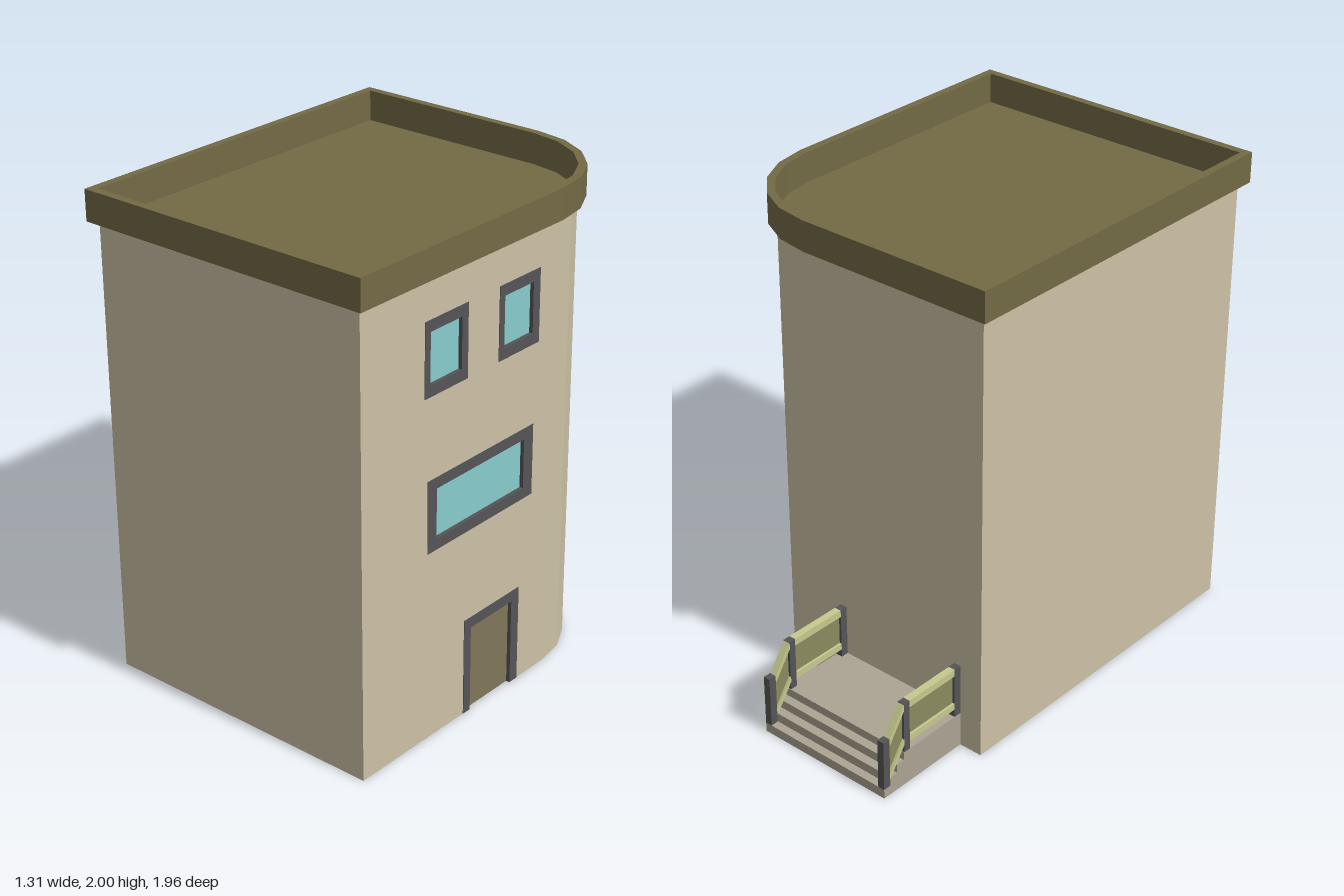
import * as THREE from 'three';

const mat = (color) => new THREE.MeshStandardMaterial({ color, side: THREE.DoubleSide, flatShading: true });
const WALL_X = 0.622;

// Footprint with one rounded back corner, as [x, z] points; e widens it outward
function footprint(e) {
  const x = WALL_X + e, r = 0.417 + e, cx = 0.205, cz = -0.133;
  const pts = [[x, 0.95 + e], [-x, 0.95 + e], [-x, -0.55 - e]];
  for (let i = 0; i <= 5; i++) {
    const a = (i / 5) * Math.PI / 2;
    pts.push([cx + r * Math.sin(a), cz - r * Math.cos(a)]);
  }
  return pts;
}
const toVectors = (pts) => pts.map(([x, z]) => new THREE.Vector2(x, -z));

// Rectangle given by [z0, z1, y0, y1], drawn in a plane whose x is -z
const rectPoints = ([z0, z1, y0, y1]) => [[-z1, y0], [-z0, y0], [-z0, y1], [-z1, y1]]
  .map(([x, y]) => new THREE.Vector2(x, y));

// Turn a shape drawn in (-z, y) so that it faces +x, starting at depth x
const faceRight = (geo, x) => geo.rotateY(Math.PI / 2).translate(x, 0, 0);

export function createModel() {
  const model = new THREE.Group();
  const tan = mat(0xcdc2a6), olive = mat(0x736a45), dark = mat(0x555557), glass = mat(0x88cccc);
  const doorMat = mat(0x80765a), stone = mat(0xaca392), railMat = mat(0xc6ca8e), panelMat = mat(0x8a8a5e);
  const add = (parent, name, geo, material) => {
    const mesh = new THREE.Mesh(geo, material);
    mesh.name = name;
    parent.add(mesh);
    return mesh;
  };
  const box = (parent, name, [x0, x1, y0, y1, z0, z1], material) => add(parent, name,
    new THREE.BoxGeometry(x1 - x0, y1 - y0, z1 - z0)
      .translate((x0 + x1) / 2, (y0 + y1) / 2, (z0 + z1) / 2), material);

  // Open-bottomed wall shell: one quad per footprint edge, except the side with openings
  const ring = footprint(0), pos = [], H = 1.875;
  for (let i = 0; i < ring.length - 1; i++) {
    const [ax, az] = ring[i], [bx, bz] = ring[i + 1];
    pos.push(ax, 0, az, ax, H, az, bx, H, bz, ax, 0, az, bx, H, bz, bx, 0, bz);
  }
  const shell = new THREE.BufferGeometry();
  shell.setAttribute('position', new THREE.Float32BufferAttribute(pos, 3));
  shell.computeVertexNormals();
  add(model, 'walls', shell, tan);

  // Openings: outer frame rectangle and inner pane rectangle
  const openings = [
    { name: 'upperWindowFront', outer: [0.37, 0.61, 1.415, 1.71], inner: [0.405, 0.58, 1.46, 1.665] },
    { name: 'upperWindowBack', outer: [-0.05, 0.19, 1.415, 1.71], inner: [-0.01, 0.16, 1.46, 1.665] },
    { name: 'middleWindow', outer: [-0.03, 0.59, 0.79, 1.085], inner: [0.025, 0.54, 0.835, 1.04] },
    { name: 'door', outer: [0.035, 0.37, 0, 0.41], inner: [0.08, 0.33, 0, 0.365] },
  ];
  const side = new THREE.Shape(rectPoints([-0.133, 0.95, 0, H]));
  for (const { name, outer, inner } of openings) {
    const group = new THREE.Group();
    group.name = name;
    const isDoor = name === 'door';
    let shape = new THREE.Shape(rectPoints(outer));
    if (isDoor) {
      // The door frame is open at the ground
      const o = rectPoints(outer), n = rectPoints(inner);
      shape = new THREE.Shape([o[0], n[0], n[3], n[2], n[1], o[1], o[2], o[3]]);
      outer[2] = 0.0005;
    } else {
      shape.holes.push(new THREE.Path(rectPoints(inner)));
    }
    side.holes.push(new THREE.Path(rectPoints(outer)));
    add(group, 'frame', faceRight(new THREE.ExtrudeGeometry(shape, { depth: 0.022, bevelEnabled: false }),
      WALL_X - 0.02), dark);
    add(group, isDoor ? 'doorLeaf' : 'pane', faceRight(new THREE.ShapeGeometry(
      new THREE.Shape(rectPoints(inner))), WALL_X - 0.014), isDoor ? doorMat : glass);
    model.add(group);
  }
  add(model, 'sideWall', faceRight(new THREE.ShapeGeometry(side), WALL_X), tan);

  // Roof deck and overhanging parapet
  const deck = new THREE.ShapeGeometry(new THREE.Shape(toVectors(ring)));
  add(model, 'roofDeck', deck.rotateX(-Math.PI / 2).translate(0, H, 0), olive);
  const rim = new THREE.Shape(toVectors(footprint(0.033)));
  rim.holes.push(new THREE.Path(toVectors(ring)));
  add(model, 'parapet', new THREE.ExtrudeGeometry(rim, { depth: 0.125, bevelEnabled: false })
    .rotateX(-Math.PI / 2).translate(0, H, 0), olive);

  // Back landing with steps, extruded across its width
  const steps = new THREE.Shape([[0.55, 0], [0.98, 0], [0.98, 0.04], [0.945, 0.04], [0.945, 0.078],
    [0.908, 0.078], [0.908, 0.115], [0.87, 0.115], [0.87, 0.15], [0.55, 0.15]]
    .map(([x, y]) => new THREE.Vector2(x, y)));
  add(model, 'landingAndSteps', faceRight(new THREE.ExtrudeGeometry(steps,
    { depth: 0.62, bevelEnabled: false }), -0.52), stone);

  // Sloping bar between two posts, of given vertical extent
  const slope = (parent, name, x, width, y0, y1, material) => {
    const drop = 0.117;
    const s = new THREE.Shape([[0.865, y0], [0.947, y0 - drop], [0.947, y1 - drop], [0.865, y1]]
      .map(([a, b]) => new THREE.Vector2(a, b)));
    add(parent, name, faceRight(new THREE.ExtrudeGeometry(s, { depth: width, bevelEnabled: false }),
      x - width / 2), material);
  };

  // Railings on both sides of the landing
  for (const [name, x] of [['leftRailing', 0.085], ['rightRailing', -0.505]]) {
    const g = new THREE.Group();
    g.name = name;
    const a = x - 0.015, b = x + 0.015;
    box(g, 'wallPost', [a, b, 0.15, 0.37, -0.583, -0.55], dark);
    box(g, 'middlePost', [a, b, 0.15, 0.37, -0.867, -0.836], dark);
    box(g, 'endPost', [a, b, 0.04, 0.257, -0.98, -0.947], dark);
    for (const [part, y0, y1, w, m] of [['topRail', 0.34, 0.37, 0.03, railMat],
      ['bottomRail', 0.185, 0.212, 0.03, railMat], ['panel', 0.212, 0.34, 0.01, panelMat]]) {
      box(g, part, [x - w / 2, x + w / 2, y0, y1, -0.836, -0.583], m);
      slope(g, part + 'Sloped', x, w, y0, y1, m);
    }
    model.add(g);
  }
  return model;
}
